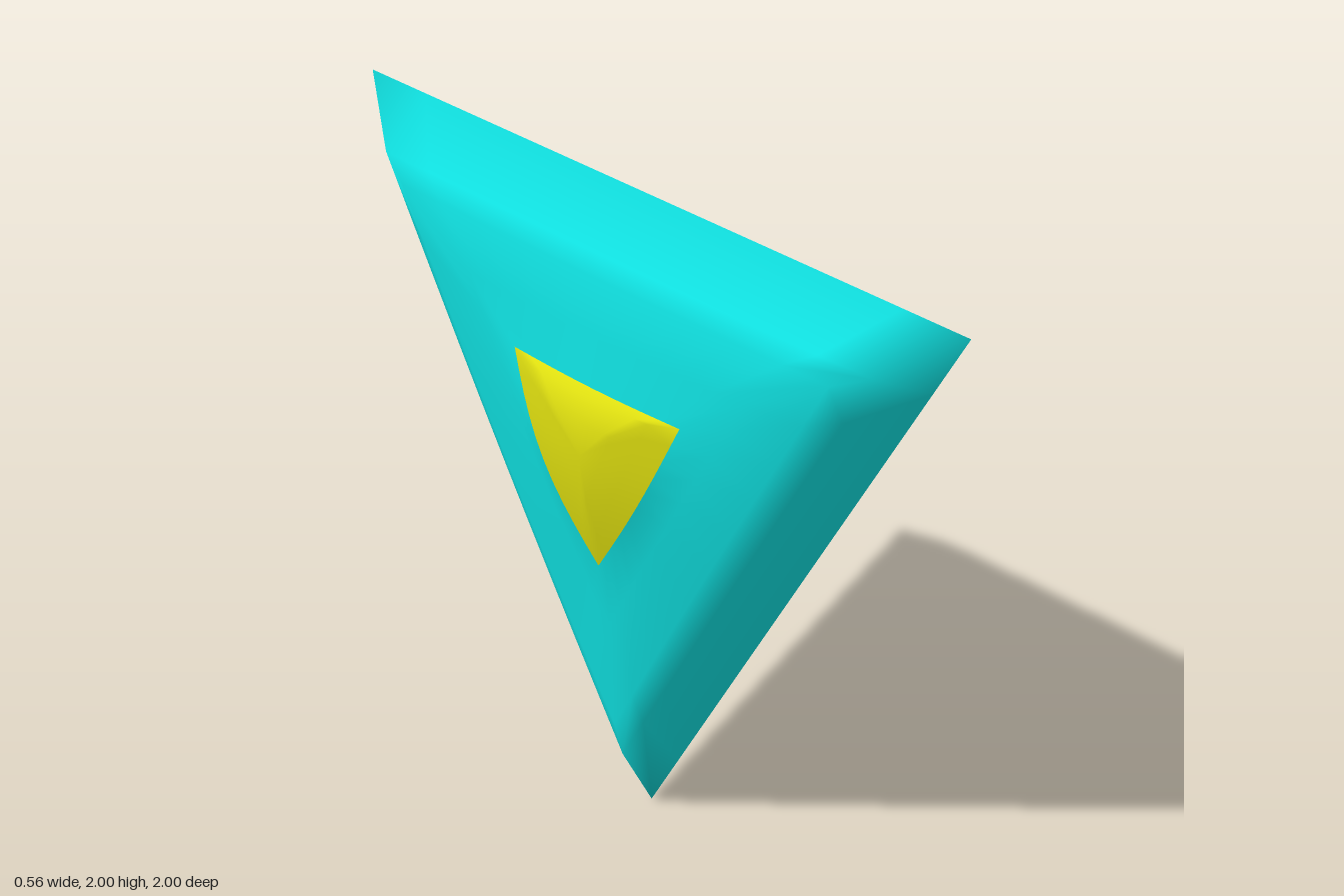
import * as THREE from 'three';
import { mergeVertices } from 'three/addons/utils/BufferGeometryUtils.js';

const STEPS = 10; // points per side of each triangular ring

// Triangular ring: top and bottom heights, half width of the top edge,
// sideways depth at each corner / edge middle, and outward bow of the sloping sides.
const ring = (top, half, bottom, xCorner, xBottom, xTop, xSide, bow = 0) =>
  ({ top, half, bottom, xCorner, xBottom, xTop, xSide, bow });

const rim = ring(2, 1, 0.005, 0, 0, 0, 0);
const bodyRings = [
  ring(1.53, 0.285, 0.96, 0.215, 0.212, 0.225, 0.243, 0.022),
  ring(1.67, 0.47, 0.73, 0.19, 0.175, 0.205, 0.203),
  ring(1.83, 0.72, 0.38, 0.175, 0.155, 0.182, 0.178),
  ring(1.875, 0.82, 0.25, 0.135, 0.122, 0.148, 0.138),
];
const domeRings = [
  ring(1.35, 0, 1.35, 0.281, 0.281, 0.281, 0.281),
  ring(1.45, 0.1, 1.18, 0.272, 0.264, 0.277, 0.273),
  ring(1.52, 0.2, 1.05, 0.243, 0.236, 0.252, 0.261, 0.01),
  bodyRings[0],
];

function ringPoints(r, side) {
  const corners = [
    [r.xCorner, r.top, r.half],
    [r.xBottom, r.bottom, 0],
    [r.xCorner, r.top, -r.half],
  ];
  const points = [];
  for (let k = 0; k < 3; k++) {
    const a = corners[k], b = corners[(k + 1) % 3];
    const xMid = k === 2 ? r.xTop : r.xSide;
    const bow = k === 0 ? r.bow : k === 1 ? -r.bow : 0;
    for (let i = 0; i < STEPS; i++) {
      const f = i / STEPS, bulge = Math.sin(Math.PI * f);
      const x = THREE.MathUtils.lerp(a[0], b[0], f) + bulge * (xMid - (a[0] + b[0]) / 2);
      const y = THREE.MathUtils.lerp(a[1], b[1], f);
      const z = THREE.MathUtils.lerp(a[2], b[2], f) + bulge * bow;
      points.push([x * side, y, z]);
    }
  }
  return points;
}

// Skin a sequence of rings running from +x towards -x
function loft(rows) {
  const n = STEPS * 3, index = [];
  for (let r = 0; r < rows.length - 1; r++) {
    for (let j = 0; j < n; j++) {
      const k = (j + 1) % n;
      const a = r * n + j, b = r * n + k, c = a + n, d = b + n;
      index.push(a, c, b, b, c, d);
    }
  }
  const geometry = new THREE.BufferGeometry();
  geometry.setAttribute('position', new THREE.Float32BufferAttribute(rows.flat(2), 3));
  geometry.setIndex(index);
  const merged = mergeVertices(geometry, 1e-4);
  merged.computeVertexNormals();
  return merged;
}

export function createModel() {
  const group = new THREE.Group();
  const teal = new THREE.MeshStandardMaterial({ name: 'teal', color: 0x10e0e0 });
  const yellow = new THREE.MeshStandardMaterial({ name: 'yellow', color: 0xe0e010 });

  const add = (name, rows, material) => {
    const mesh = new THREE.Mesh(loft(rows), material);
    mesh.name = name;
    group.add(mesh);
  };

  // Wedge-edged triangular body, mirrored about x = 0
  add('body', [
    ...bodyRings.map((r) => ringPoints(r, 1)),
    ringPoints(rim, 1),
    ...[...bodyRings].reverse().map((r) => ringPoints(r, -1)),
  ], teal);

  // Domed triangular panels on both faces
  add('leftDome', domeRings.map((r) => ringPoints(r, 1)), yellow);
  add('rightDome', [...domeRings].reverse().map((r) => ringPoints(r, -1)), yellow);

  return group;
}
